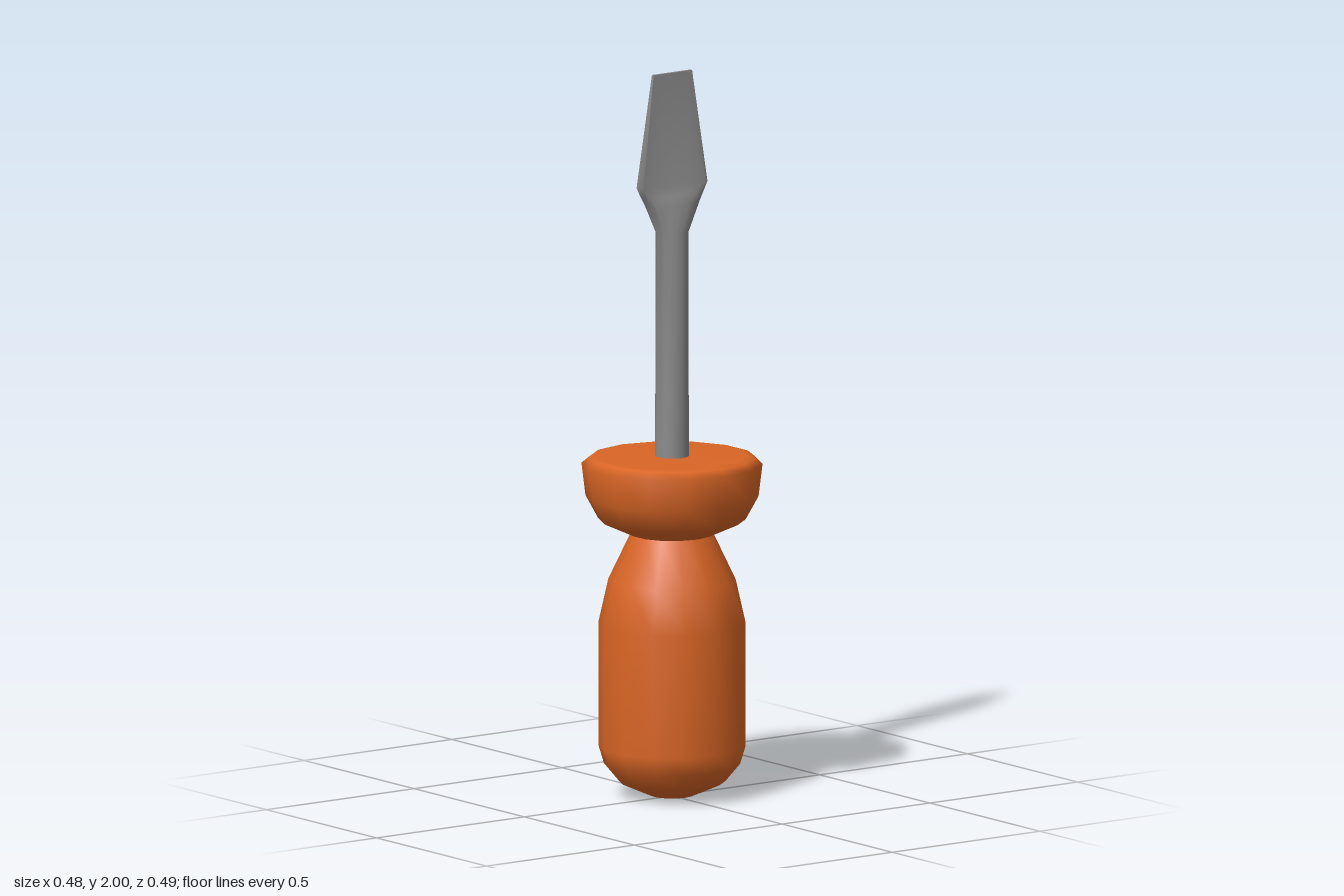
import * as THREE from 'three';
import { toCreasedNormals } from 'three/addons/utils/BufferGeometryUtils.js';

const orange = new THREE.MeshStandardMaterial({ color: 0xd96525 });
orange.name = 'orange plastic';
const steel = new THREE.MeshStandardMaterial({ color: 0x8c8c8c });
steel.name = 'grey steel';

// Fourteen-sided turned part from [radius, height] pairs, bottom to top
function turned(name, profile) {
  const points = profile.map(([r, y]) => new THREE.Vector2(r, y));
  const mesh = new THREE.Mesh(new THREE.LatheGeometry(points, 14), orange);
  mesh.name = name;
  return mesh;
}

// Loft through sections [height, half width, half depth at middle, half depth at edge]
function loft(sections, steps) {
  const n = 2 * (steps + 1);
  const pos = [], idx = [];
  for (const [y, w, mid, edge] of sections) {
    for (const side of [1, -1]) {
      for (let i = 0; i <= steps; i++) {
        const t = (i / steps) * Math.PI;
        pos.push(side * w * Math.cos(t), y, side * (edge + (mid - edge) * Math.sin(t)));
      }
    }
  }
  for (let s = 0; s < sections.length - 1; s++) {
    for (let j = 0; j < n; j++) {
      const a = s * n + j, b = s * n + (j + 1) % n;
      idx.push(a, a + n, b, b, a + n, b + n);
    }
  }
  // Tip cap
  const last = (sections.length - 1) * n;
  const centre = pos.length / 3;
  pos.push(0, sections[sections.length - 1][0], 0);
  for (let j = 0; j < n; j++) idx.push(centre, last + (j + 1) % n, last + j);

  const geo = new THREE.BufferGeometry();
  geo.setAttribute('position', new THREE.Float32BufferAttribute(pos, 3));
  geo.setIndex(idx);
  return toCreasedNormals(geo, 0.75);
}

export function createModel() {
  const model = new THREE.Group();
  model.name = 'screwdriver';

  // Rounded grip, narrowing to the neck
  model.add(turned('grip', [
    [0, 0], [0.06, 0.004], [0.145, 0.042], [0.185, 0.09], [0.2, 0.14],
    [0.2, 0.48], [0.173, 0.6], [0.113, 0.726],
  ]));

  // Flared collar with a flat top
  model.add(turned('collar', [
    [0.113, 0.726], [0.2, 0.766], [0.235, 0.83], [0.246, 0.92],
    [0.225, 0.937], [0.205, 0.941], [0, 0.941],
  ]));

  // Round shaft flowing into the flat blade
  const blade = new THREE.Mesh(loft([
    [0.93, 0.044, 0.047, 0.006],
    [1.56, 0.043, 0.045, 0.006],
    [1.64, 0.083, 0.039, 0.012],
    [1.665, 0.096, 0.027, 0.015],
    [1.69, 0.108, 0.017, 0.016],
    [2, 0.065, 0.004, 0.004],
  ], 8), steel);
  blade.name = 'shaftAndBlade';
  model.add(blade);

  return model;
}
